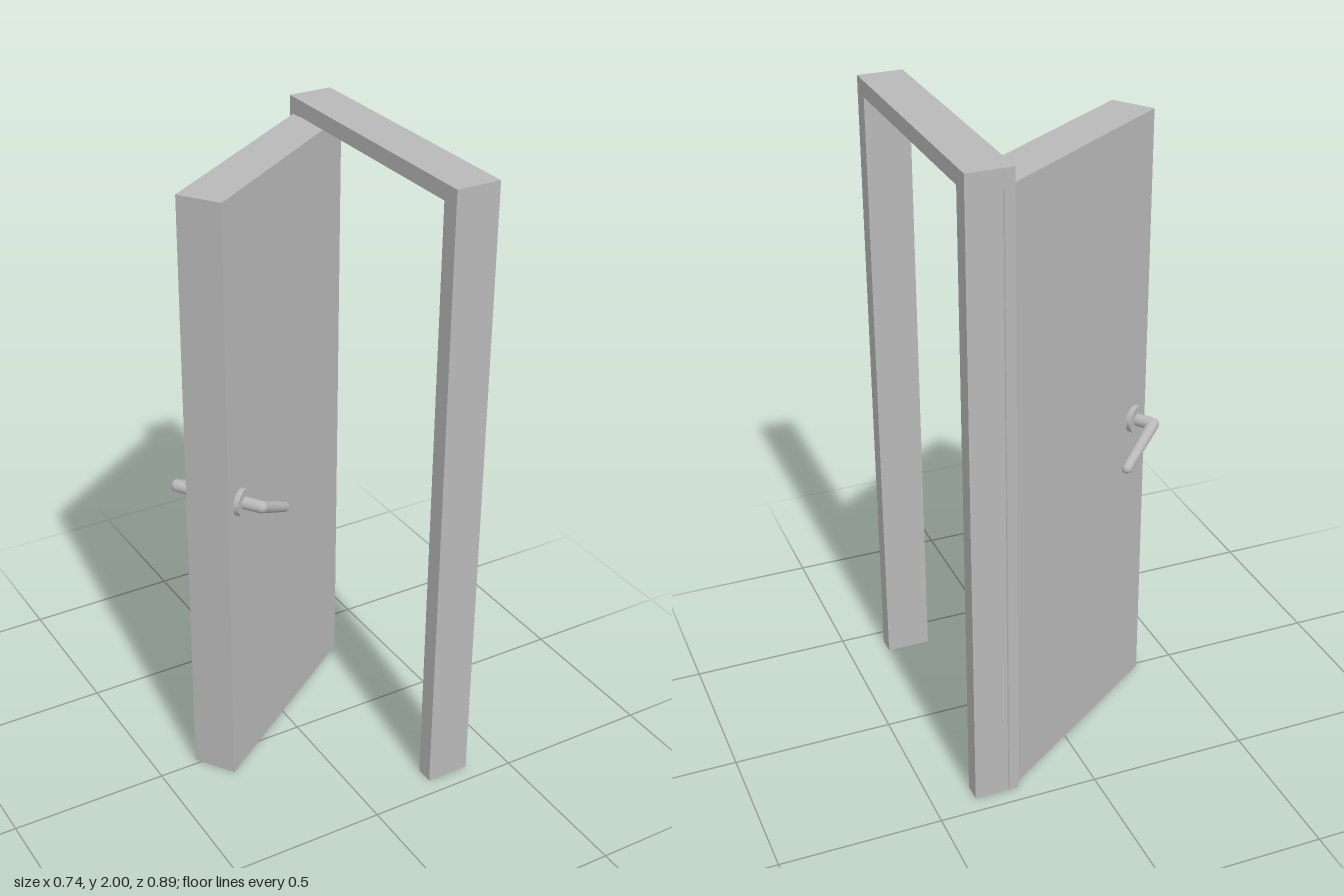
import * as THREE from 'three';

const grey = new THREE.MeshStandardMaterial({ color: 0xb8b8b8 });
grey.name = 'plain grey';

function part(name, geometry, parent, x = 0, y = 0, z = 0) {
  const mesh = new THREE.Mesh(geometry, grey);
  mesh.name = name;
  mesh.position.set(x, y, z);
  parent.add(mesh);
  return mesh;
}

// Round bar from a to b, tapering from radius ra to rb
function bar(name, parent, a, b, ra, rb) {
  const dir = b.clone().sub(a);
  const mesh = part(name, new THREE.CylinderGeometry(rb, ra, dir.length(), 24), parent);
  mesh.position.copy(a).lerp(b, 0.5);
  mesh.quaternion.setFromUnitVectors(new THREE.Vector3(0, 1, 0), dir.normalize());
}

// Lever handle for one face of the door; side is +1 or -1 along the door's normal
function handle(name, side) {
  const group = new THREE.Group();
  group.name = name;
  const rosette = part('rosette', new THREE.CylinderGeometry(0.043, 0.043, 0.02, 40), group, 0, 0, side * 0.077);
  rosette.rotation.x = Math.PI / 2;
  const root = new THREE.Vector3(0, 0, side * 0.075);
  const elbow = new THREE.Vector3(0, 0, side * 0.142);
  const tip = new THREE.Vector3(0.152, -0.083, side * 0.142);
  bar('neck', group, root, elbow, 0.02, 0.019);
  part('elbow', new THREE.SphereGeometry(0.019, 24, 16), group, ...elbow);
  bar('lever', group, elbow, tip, 0.019, 0.016);
  part('leverTip', new THREE.SphereGeometry(0.016, 24, 16), group, ...tip);
  return group;
}

export function createModel() {
  const model = new THREE.Group();
  model.name = 'openDoor';

  // Door frame: two posts and a lintel
  const frame = new THREE.Group();
  frame.name = 'doorFrame';
  model.add(frame);
  for (const s of [1, -1]) {
    part(s > 0 ? 'latchPost' : 'hingePost', new THREE.BoxGeometry(0.14, 1.95, 0.058), frame, 0.3, 0.975, s * 0.416);
  }
  part('lintel', new THREE.BoxGeometry(0.14, 0.05, 0.89), frame, 0.3, 1.975, 0);

  // Door leaf, swung open about the hinge post
  const door = new THREE.Group();
  door.name = 'door';
  door.position.set(-0.014, 0, -0.1735);
  door.rotation.y = 0.599;
  model.add(door);
  part('doorLeaf', new THREE.BoxGeometry(0.765, 1.945, 0.141), door, 0, 0.9745, 0);

  // A lever handle on each face
  for (const side of [1, -1]) {
    const h = handle(side > 0 ? 'frontHandle' : 'backHandle', side);
    h.position.set(-0.31, 0.978, 0);
    door.add(h);
  }
  return model;
}
